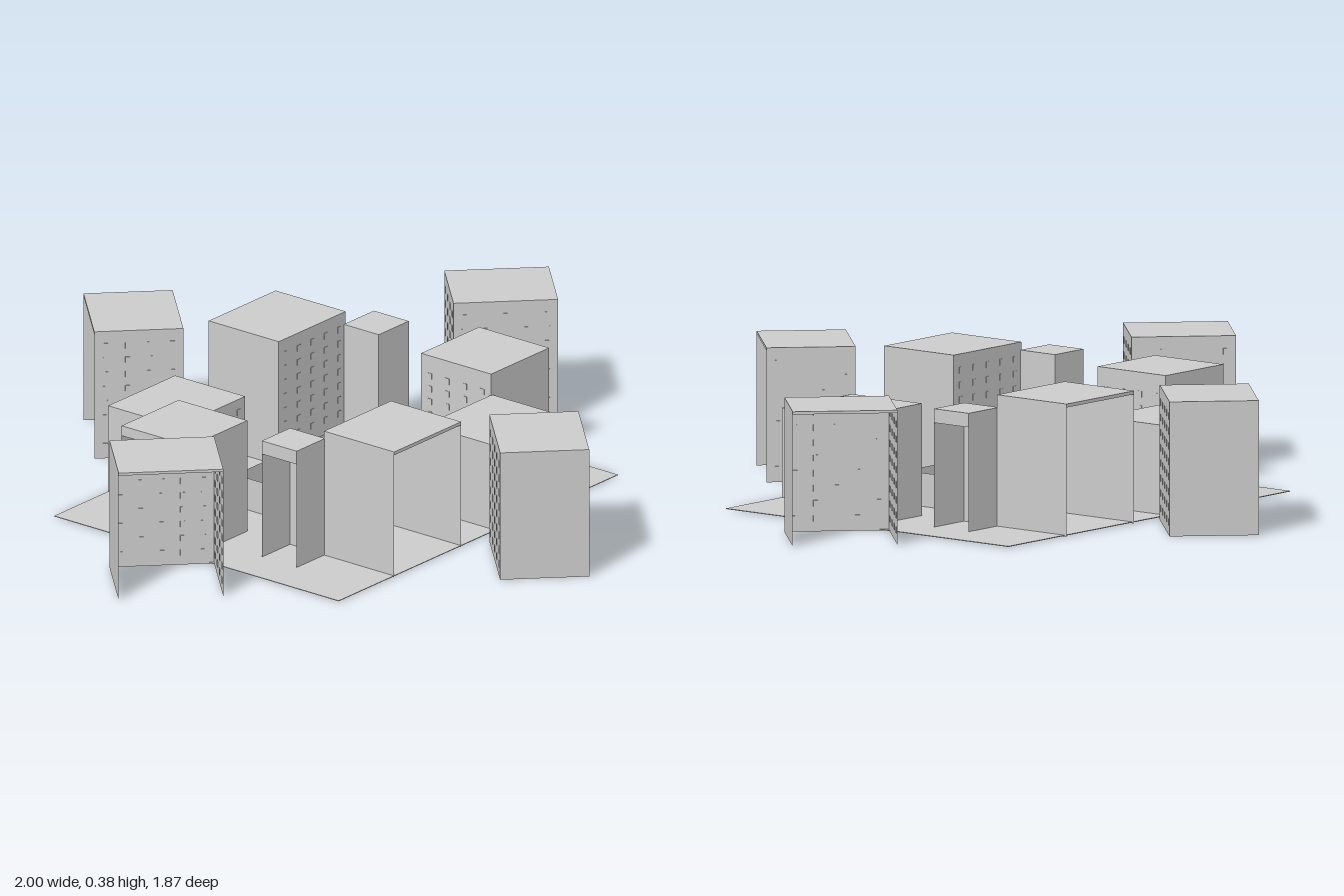
import * as THREE from 'three';
import { mergeGeometries } from 'three/addons/utils/BufferGeometryUtils.js';

const mat = new THREE.MeshStandardMaterial({ color: 0xcccccc, side: THREE.DoubleSide, flatShading: true });

function add(parent, name, geo, x = 0, y = 0, z = 0, ry = 0) {
  const m = new THREE.Mesh(geo, mat);
  m.name = name;
  m.position.set(x, y, z);
  m.rotation.y = ry;
  parent.add(m);
  return m;
}

// A grid of small window panes centred on a wall that faces +z
function windowGrid(w, h) {
  const panes = [];
  const cols = Math.max(2, Math.round(w / 0.065)), rows = Math.max(3, Math.round(h / 0.045));
  for (let i = 0; i < cols; i++)
    for (let j = 0; j < rows; j++)
      panes.push(new THREE.BoxGeometry(0.014, 0.018, 0.003)
        .translate(((i + 0.5) / cols - 0.5) * w, ((j + 0.5) / rows - 0.5) * h * 0.92, 0));
  return mergeGeometries(panes);
}

// Thin-walled shell: open towards local +z, windows on the inward walls
function building(parent, name, { x, z, w, d, h, turn = 0, roof = 0.01, sideWindows = false, windows = true }) {
  const g = new THREE.Group();
  g.name = name;
  g.position.set(x, 0, z);
  g.rotation.y = turn;
  const wallH = h - roof, y = wallH / 2;
  add(g, 'backWall', new THREE.PlaneGeometry(w, wallH), 0, y, -d / 2, Math.PI);
  for (const s of [-1, 1])
    add(g, s < 0 ? 'rightWall' : 'leftWall', new THREE.PlaneGeometry(d, wallH), s * w / 2, y, 0, s * Math.PI / 2);
  add(g, 'roof', new THREE.BoxGeometry(w, roof, d), 0, h - roof / 2, 0);
  if (windows) add(g, 'backWindows', windowGrid(w, wallH), 0, y, -d / 2, Math.PI);
  if (sideWindows) add(g, 'sideWindows', windowGrid(d, wallH), w / 2, y, 0, Math.PI / 2);
  parent.add(g);
}

export function createModel() {
  const model = new THREE.Group();
  model.name = 'cityBlock';
  const q = Math.PI / 4;

  // Ground sheet and the paved court under its middle
  add(model, 'ground', new THREE.BoxGeometry(1.25, 0.002, 1.035), 0.005, 0.003, -0.013);
  add(model, 'courtFloor', new THREE.BoxGeometry(0.49, 0.002, 0.34), 0.005, 0.001, -0.01);

  // Low wall around the court, with a small gate in the rear side
  for (const s of [-1, 1]) {
    add(model, 'courtLongWall', new THREE.PlaneGeometry(0.49, 0.1), 0.005, 0.05, -0.01 + s * 0.17);
    add(model, 'courtShortWall', new THREE.PlaneGeometry(0.34, 0.1), 0.005 + s * 0.245, 0.05, -0.01, q * 2);
  }
  add(model, 'gate', new THREE.BoxGeometry(0.05, 0.06, 0.006), 0.005, 0.034, -0.18);

  // Perimeter buildings, each open to the outside of the block
  building(model, 'frontRightBuilding', { x: -0.223, z: 0.378, w: 0.3, d: 0.255, h: 0.38 });
  building(model, 'frontLeftBuilding', { x: 0.23, z: 0.378, w: 0.3, d: 0.255, h: 0.26 });
  building(model, 'backRightBuilding', { x: -0.22, z: -0.41, w: 0.3, d: 0.255, h: 0.26, turn: 4 * q });
  building(model, 'backLeftBuilding', { x: 0.23, z: -0.41, w: 0.3, d: 0.255, h: 0.38, turn: 4 * q });
  building(model, 'leftBuilding', { x: 0.503, z: 0.125, w: 0.255, d: 0.26, h: 0.325, turn: 2 * q, roof: 0.03 });
  building(model, 'rightBuilding', { x: -0.495, z: -0.158, w: 0.25, d: 0.255, h: 0.34, turn: -2 * q, roof: 0.03 });

  // Small corner annexes
  building(model, 'frontAnnex', { x: -0.433, z: 0.188, w: 0.127, d: 0.127, h: 0.357, turn: -2 * q, roof: 0.04, windows: false });
  building(model, 'backAnnex', { x: 0.44, z: -0.22, w: 0.127, d: 0.135, h: 0.343, turn: 2 * q, roof: 0.04, windows: false });

  // Four towers set diagonally around the block
  const towers = [
    ['frontTower', -0.005, 0.735, q], ['rightTower', -0.805, 0.028, -q],
    ['leftTower', 0.805, -0.062, 3 * q], ['backTower', -0.005, -0.742, -3 * q],
  ];
  for (const [name, x, z, turn] of towers)
    building(model, name, { x, z, w: 0.297, d: 0.253, h: 0.385, turn, roof: 0.008, sideWindows: true });

  return model;
}
